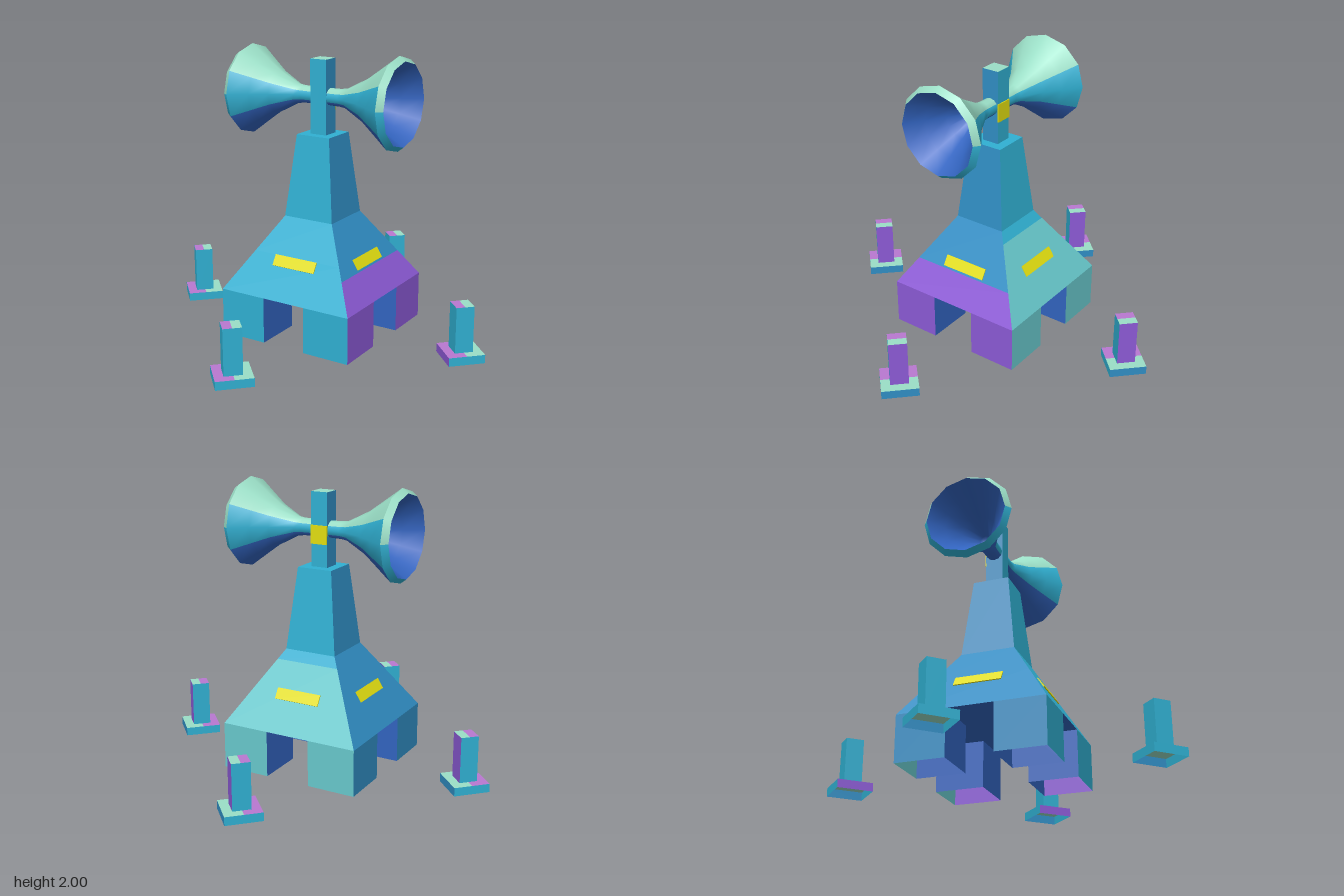
import * as THREE from 'three';

const paint = (name, color) => {
  const m = new THREE.MeshStandardMaterial({ color, side: THREE.DoubleSide });
  m.name = name;
  return m;
};

export function createModel() {
  const mint = paint('mint', 0x9adec6);
  const cyan = paint('cyan', 0x30b0d2);
  const blue = paint('blue', 0x308ec4);
  const deepBlue = paint('deep blue', 0x3264c0);
  const purple = paint('purple', 0x8c5ad6);
  const orchid = paint('orchid', 0xb878d0);
  const teal = paint('teal', 0x68c8cc);
  const yellow = paint('yellow', 0xe2de10);

  const add = (parent, name, geometry, material) => {
    const mesh = new THREE.Mesh(geometry, material);
    mesh.name = name;
    parent.add(mesh);
    return mesh;
  };
  const group = (parent, name) => {
    const g = new THREE.Group();
    g.name = name;
    parent.add(g);
    return g;
  };
  // Four-cornered face, corners anticlockwise as seen from its front
  const quad = (a, b, c, d) => {
    const g = new THREE.BufferGeometry();
    g.setAttribute('position', new THREE.Float32BufferAttribute([a, b, c, a, c, d].flat(), 3));
    g.computeVertexNormals();
    return g;
  };
  // Trapezium facing +z, turned to side i (0 +z, 1 +x, 2 -z, 3 -x)
  const panel = (h0, y0, h1, y1, i) =>
    quad([-h0, y0, h0], [h0, y0, h0], [h1, y1, h1], [-h1, y1, h1]).rotateY(i * Math.PI / 2);
  // Level face
  const level = (x0, x1, z0, z1, y) => quad([x0, y, z1], [x1, y, z1], [x1, y, z0], [x0, y, z0]);

  const model = new THREE.Group();
  model.name = 'hornTower';

  // Building stands corner-on, so everything in it is turned by 45 degrees
  const tower = group(model, 'tower');
  tower.rotation.y = Math.PI / 4;

  const A = 0.513, B = 0.192, C = 0.13, M = 0.0625; // half widths
  const WALL = 0.33, EAVE = 0.84, TOP = 1.42, TIP = 1.94;
  const DOOR = 0.163;
  const roofHalf = y => A + (B - A) * (y - WALL) / (EAVE - WALL);

  // Colours per side: wall, lower roof, height of change, upper part
  const sides = [
    { wall: purple, low: purple, split: 0.52, high: blue },
    { wall: teal, low: teal, split: 0.77, high: cyan },
    { wall: blue, low: blue, split: 0.6, high: blue },
    { wall: cyan, low: cyan, split: 0.6, high: cyan },
  ];
  const lean = Math.atan2(A - B, EAVE - WALL);

  sides.forEach((s, i) => {
    const turn = i * Math.PI / 2;
    const hs = roofHalf(s.split);
    // Walls either side of the passage, and the passage walls
    for (const [a, b] of [[-A, -DOOR], [DOOR, A]]) {
      add(tower, 'wall', quad([a, 0, A], [b, 0, A], [b, WALL, A], [a, WALL, A]).rotateY(turn), s.wall);
    }
    add(tower, 'passageWall', quad([-DOOR, 0, A], [-DOOR, 0, DOOR],
      [-DOOR, WALL, DOOR], [-DOOR, WALL, A]).rotateY(turn), deepBlue);
    add(tower, 'passageWall', quad([DOOR, 0, DOOR], [DOOR, 0, A],
      [DOOR, WALL, A], [DOOR, WALL, DOOR]).rotateY(turn), deepBlue);
    // Roof, neck and mast
    add(tower, 'lowerRoof', panel(A, WALL, hs, s.split, i), s.low);
    add(tower, 'upperRoof', panel(hs, s.split, B, EAVE, i), s.high);
    add(tower, 'neck', panel(B, EAVE, C, TOP, i), s.high);
    add(tower, 'mast', panel(M, TOP, M, TIP, i), s.high);
    // Window plate lying on the roof slope
    const pane = new THREE.BoxGeometry(0.335, 0.08, 0.009);
    pane.rotateX(-lean).translate(0, 0.568, roofHalf(0.568) + 0.003).rotateY(turn);
    add(tower, 'window', pane, yellow);
  });

  add(tower, 'ceiling', level(-A, A, -A, A, WALL).rotateX(Math.PI).translate(0, 2 * WALL, 0), deepBlue);
  add(tower, 'neckTop', level(-C, C, -C, C, TOP), cyan);
  add(tower, 'mastTop', level(-M, M, -M, M, TIP), mint);
  const plate = new THREE.BoxGeometry(0.008, 0.13, 2 * M);
  add(tower, 'mastPlate', plate.translate(M + 0.003, 1.645, 0), yellow);

  // Two twelve-sided horns, painted in bands around the axis
  const outside = [[0.06, 0.03], [0.062, 0.15], [0.07, 0.2], [0.15, 0.355], [0.23, 0.465], [0.32, 0.587]];
  const lip = [[0.32, 0.587], [0.287, 0.63]];
  const inside = [[0.287, 0.63], [0.205, 0.5], [0.125, 0.37], [0.04, 0.24], [0, 0.235]];
  const band = (profile, first, count) => new THREE.LatheGeometry(
    profile.map(p => new THREE.Vector2(...p)), count, first * Math.PI / 6, count * Math.PI / 6,
  ).rotateX(Math.PI / 2); // band 0 starts at the bottom, 6 at the top

  for (const turn of [0, Math.PI]) {
    const horn = group(tower, 'horn');
    horn.position.y = 1.68;
    horn.rotation.y = turn;
    add(horn, 'hornTop', band(outside, 4, 4), mint);
    add(horn, 'hornSide', band(outside, 2, 2), cyan);
    add(horn, 'hornSide', band(outside, 8, 2), cyan);
    add(horn, 'hornUnderside', band(outside, -2, 4), deepBlue);
    add(horn, 'lipTop', band(lip, 3, 6), mint);
    add(horn, 'lipBottom', band(lip, -3, 6), cyan);
    add(horn, 'hornInside', band(inside, 0, 12), deepBlue);
  }

  // Four corner posts on square bases, open underneath
  const block = (parent, name, h, y0, y1, colours) => {
    colours.forEach((c, i) => add(parent, name + 'Side', panel(h, y0, h, y1, i), c));
    add(parent, name + 'Top', level(-h, 0, -h, h, y1), orchid);
    add(parent, name + 'Top', level(0, h, -h, h, y1), mint);
  };
  for (const x of [-1, 1]) {
    for (const z of [-1, 1]) {
      const post = group(model, 'cornerPost');
      post.position.set(x * 0.775, 0, z * 0.775);
      block(post, 'base', 0.127, 0, 0.06, [cyan, blue, cyan, x > 0 ? purple : cyan]);
      block(post, 'post', 0.063, 0.06, 0.385, [cyan, purple, cyan, cyan]);
    }
  }
  return model;
}
